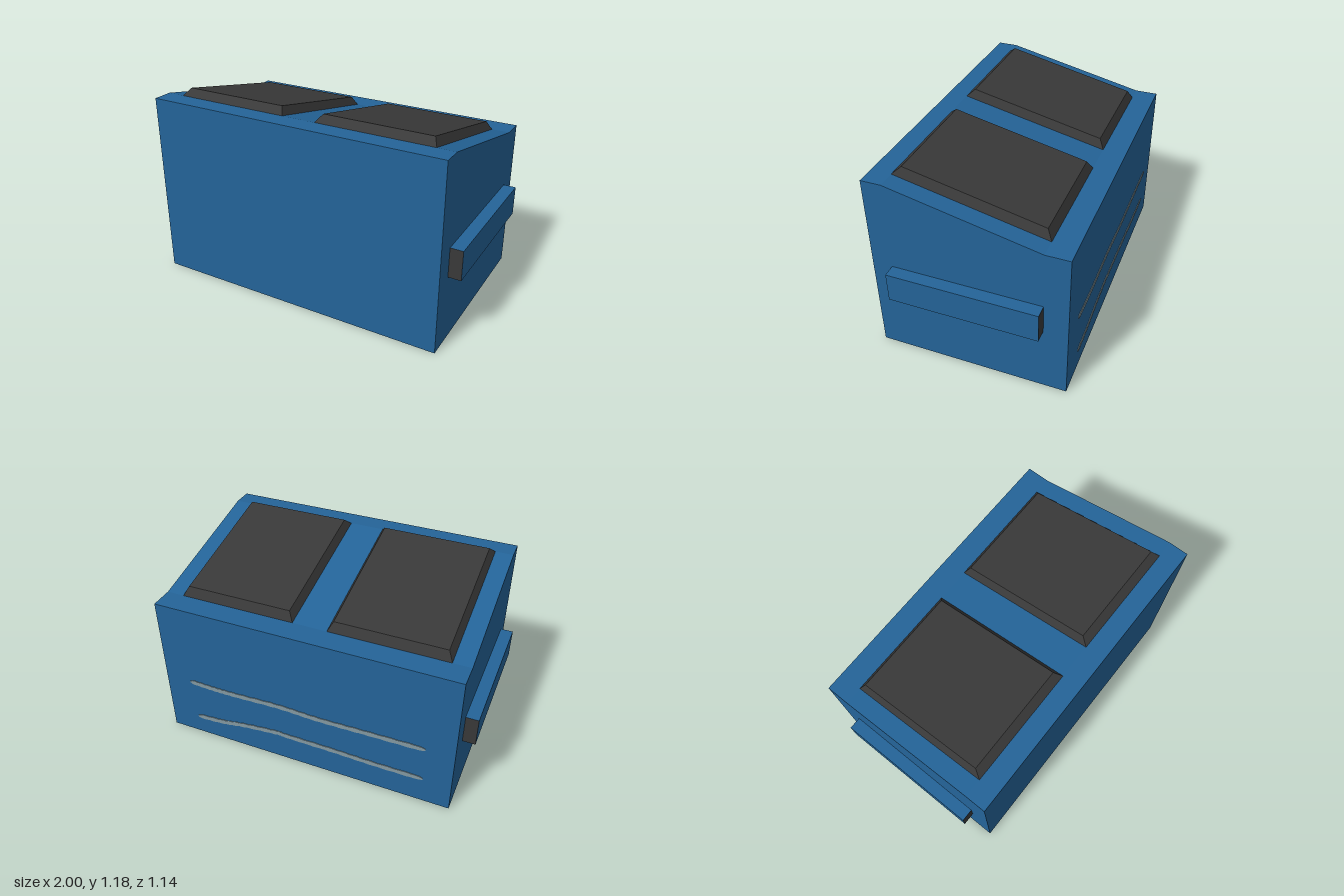
import * as THREE from 'three';

const mat = (name, color) => {
  const m = new THREE.MeshStandardMaterial({ color });
  m.name = name;
  return m;
};

export function createModel() {
  const blue = mat('bodyBlue', 0x246499);
  const dark = mat('lidCharcoal', 0x393939);
  const grey = mat('scratchGrey', 0x8499a2);
  const model = new THREE.Group();
  model.name = 'twinLidContainer';

  const add = (name, geometry, material) => {
    const mesh = new THREE.Mesh(geometry, material);
    mesh.name = name;
    model.add(mesh);
    return mesh;
  };

  // Body: side profile (z, y) with a sloping top, extruded across x
  const halfW = 0.925;
  const profile = [[0.57, 0], [0.57, 1.14], [0.45, 1.14], [-0.43, 0.945], [-0.57, 0.945], [-0.57, 0]];
  const side = new THREE.Shape(profile.map(([z, y]) => new THREE.Vector2(-z, y)));
  const body = new THREE.ExtrudeGeometry(side, { depth: 2 * halfW, bevelEnabled: false });
  body.rotateY(Math.PI / 2).translate(-halfW, 0, 0);
  add('body', body, blue);

  // Lid: a box whose corners move to a bevelled slab lying on the slope
  const lidGeometry = (cx) => {
    const g = new THREE.BoxGeometry(2, 2, 2);
    const p = g.attributes.position;
    for (let i = 0; i < p.count; i++) {
      const top = p.getY(i) > 0, front = p.getZ(i) > 0;
      const x = cx + Math.sign(p.getX(i)) * (top ? 0.327 : 0.356);
      const [z, y] = top
        ? (front ? [0.403, 1.18] : [-0.4, 1.0])
        : (front ? [0.45, 1.14] : [-0.43, 0.945]);
      p.setXYZ(i, x, y, z);
    }
    g.computeVertexNormals();
    return g;
  };

  // Lids and side lifting rails, mirrored; rail ends are dark
  for (const [label, s] of [['left', 1], ['right', -1]]) {
    add(label + 'Lid', lidGeometry(s * 0.461), dark);
    const rail = new THREE.BoxGeometry(0.075, 0.18, 0.88);
    rail.translate(s * (halfW + 0.0375), 0.51, 0.01);
    add(label + 'Rail', rail, [blue, blue, blue, blue, dark, dark]);
  }

  // Scratches: thin wavering ribbons with rounded ends on the back face
  const scratch = (name, points) => {
    const curve = new THREE.SplineCurve(points.map(([x, y]) => new THREE.Vector2(x, y)));
    const n = 70, upper = [], lower = [];
    for (let i = 0; i <= n; i++) {
      const t = i / n, c = curve.getPoint(t);
      const end = Math.min(1, 0.35 + 25 * Math.min(t, 1 - t));
      const w = end * (0.015 + 0.002 * Math.sin(i * 1.9));
      upper.push(new THREE.Vector2(c.x, c.y + w));
      lower.push(new THREE.Vector2(c.x, c.y - w));
    }
    const shape = new THREE.Shape([...upper, ...lower.reverse()]);
    const g = new THREE.ExtrudeGeometry(shape, { depth: 0.005, bevelEnabled: false });
    g.translate(0, 0, -0.574);
    add(name, g, grey);
  };
  scratch('upperScratch', [[-0.755, 0.415], [-0.4, 0.41], [-0.1, 0.405], [0.15, 0.415], [0.45, 0.405], [0.6, 0.405], [0.755, 0.412]]);
  scratch('lowerScratch', [[-0.755, 0.18], [-0.45, 0.18], [-0.2, 0.187], [0.1, 0.19], [0.18, 0.193], [0.4, 0.17], [0.55, 0.145], [0.735, 0.132]]);

  return model;
}
